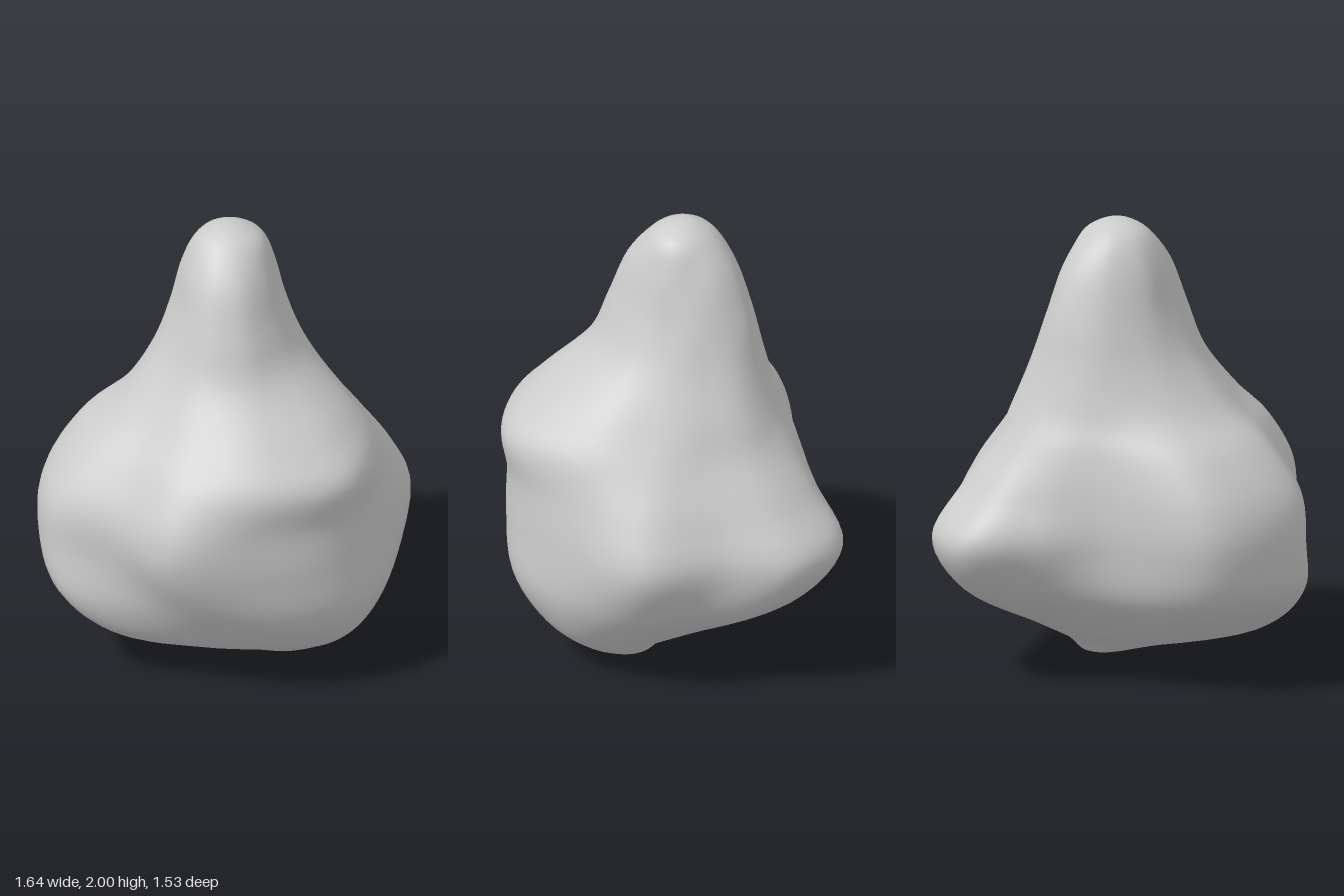
import * as THREE from 'three';
import { mergeVertices } from 'three/addons/utils/BufferGeometryUtils.js';

// Directions of the lobes and hollows, in degrees from the front (+z) towards +x
const ANGLES = [0, 30, 60, 90, 118, 142, 162, 180, 208, 250, 283, 308, 332];

// Each section: height, then one radius per direction.
// A single radius makes a round section.
const SECTIONS = [
  [0, 0],
  [0.018, 0.1],
  [0.08, 0.21, 0.24, 0.25, 0.22, 0.18, 0.16, 0.16, 0.16, 0.17, 0.25, 0.31, 0.25, 0.22],
  [0.2, 0.42, 0.45, 0.44, 0.4, 0.35, 0.36, 0.36, 0.34, 0.37, 0.56, 0.71, 0.52, 0.43],
  [0.4, 0.63, 0.65, 0.62, 0.62, 0.59, 0.68, 0.7, 0.56, 0.53, 0.79, 0.89, 0.69, 0.64],
  [0.64, 0.75, 0.76, 0.73, 0.78, 0.71, 0.82, 0.81, 0.61, 0.5, 0.77, 0.87, 0.75, 0.8],
  [0.85, 0.75, 0.76, 0.71, 0.7, 0.63, 0.68, 0.67, 0.56, 0.49, 0.74, 0.84, 0.75, 0.82],
  [1.05, 0.75, 0.78, 0.66, 0.56, 0.5, 0.53, 0.53, 0.49, 0.45, 0.62, 0.69, 0.64, 0.72],
  [1.2, 0.63, 0.64, 0.55, 0.45, 0.43, 0.46, 0.45, 0.42, 0.39, 0.45, 0.51, 0.51, 0.57],
  [1.4, 0.42, 0.39, 0.36, 0.33, 0.34, 0.38, 0.38, 0.36, 0.33, 0.33, 0.35, 0.37, 0.41],
  [1.6, 0.33, 0.29, 0.26, 0.25, 0.28, 0.31, 0.33, 0.31, 0.28, 0.26, 0.26, 0.29, 0.33],
  [1.8, 0.25, 0.22, 0.2, 0.2, 0.21, 0.24, 0.25, 0.24, 0.22, 0.21, 0.21, 0.23, 0.25],
  [1.93, 0.15],
  [1.985, 0.07],
  [2, 0],
];
const ROWS = 84, AROUND = 104;

// The core line runs straight down, then leans towards the bottom tip
function sectionPoint([y, ...radii], k) {
  const lean = Math.max(0, 1 - y / 0.65);
  const r = radii[k % radii.length];
  const a = THREE.MathUtils.degToRad(ANGLES[k]);
  return new THREE.Vector3(0.04 + 0.21 * lean + r * Math.sin(a), y, 0.2 * lean + r * Math.cos(a));
}

// Smooth skin: splines up each column, then closed splines around each row
function boulderGeometry() {
  const columns = ANGLES.map((_, k) =>
    new THREE.CatmullRomCurve3(SECTIONS.map((s) => sectionPoint(s, k)), false, 'catmullrom', 0.5));
  const positions = [], index = [];
  for (let i = 0; i <= ROWS; i++) {
    const ring = new THREE.CatmullRomCurve3(columns.map((c) => c.getPoint(i / ROWS)), true, 'centripetal');
    for (let j = 0; j < AROUND; j++) {
      const p = ring.getPoint(j / AROUND);
      positions.push(p.x, p.y, p.z);
      if (i === ROWS) continue;
      const a = i * AROUND + j, b = i * AROUND + ((j + 1) % AROUND);
      const c = a + AROUND, d = b + AROUND;
      if (i > 0) index.push(a, b, c);
      if (i < ROWS - 1) index.push(b, d, c);
    }
  }
  const geometry = new THREE.BufferGeometry();
  geometry.setAttribute('position', new THREE.Float32BufferAttribute(positions, 3));
  geometry.setIndex(index);
  const merged = mergeVertices(geometry, 1e-5);
  merged.computeVertexNormals();
  return merged;
}

export function createModel() {
  const group = new THREE.Group();
  group.name = 'rock';
  const boulder = new THREE.Mesh(boulderGeometry(), new THREE.MeshStandardMaterial({ color: 0xcccccc }));
  boulder.name = 'boulder';
  group.add(boulder);
  return group;
}
